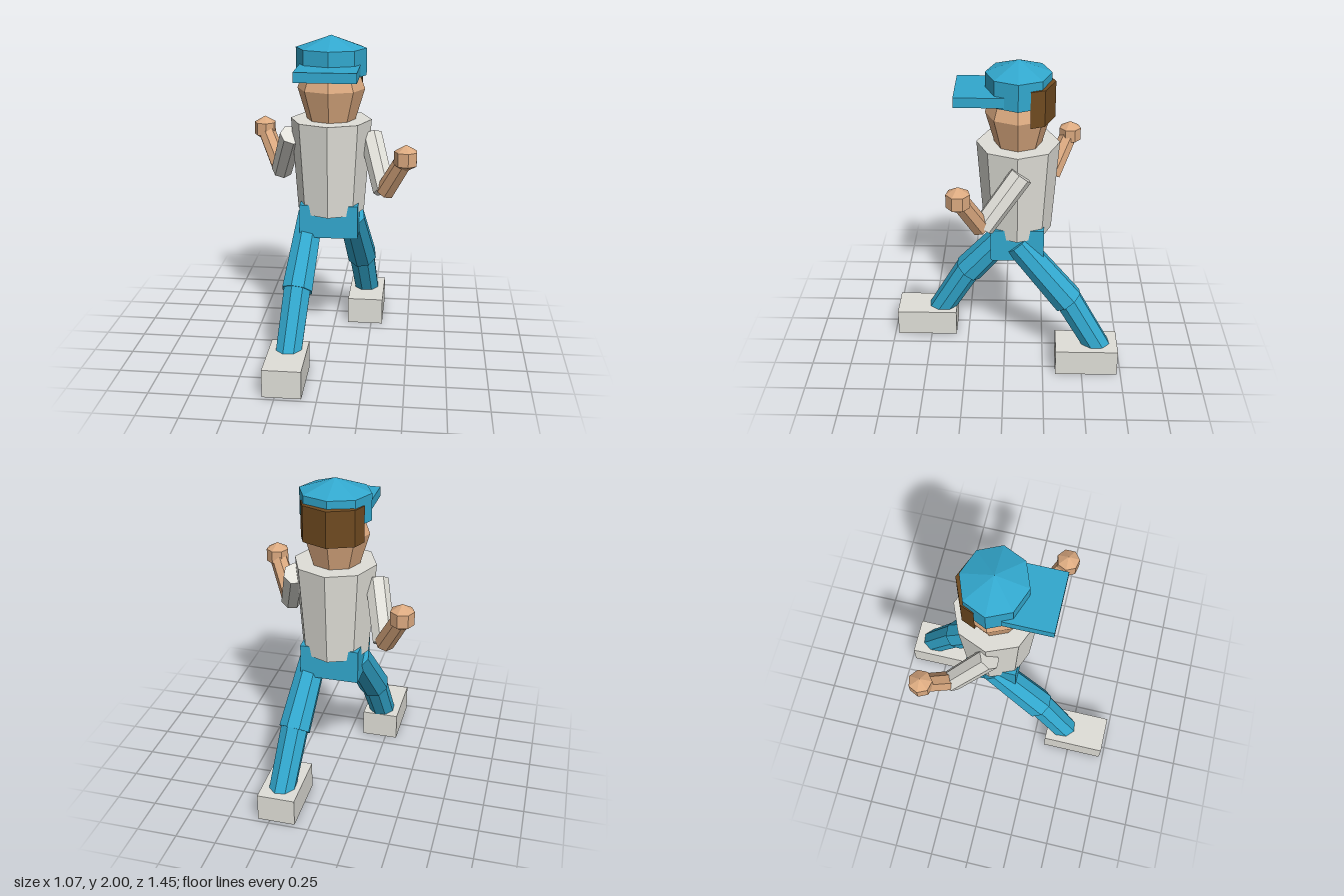
import * as THREE from 'three';

const flat = (name, color) => {
  const m = new THREE.MeshStandardMaterial({ color, flatShading: true, side: THREE.DoubleSide });
  m.name = name;
  return m;
};

export function createModel() {
  const root = new THREE.Group();
  root.name = 'walkingFigure';
  const blue = flat('blue cloth', 0x32a8ce);
  const white = flat('off-white', 0xe0dfd8);
  const skin = flat('skin', 0xdcaa80);
  const brown = flat('brown hair', 0x6f4a20);
  const MID = -0.08; // body axis in z

  const add = (name, geo, mat, x = 0, y = 0, z = 0) => {
    const mesh = new THREE.Mesh(geo, mat);
    mesh.name = name;
    mesh.position.set(x, y, z);
    root.add(mesh);
    return mesh;
  };
  const box = (name, mat, w, h, d, x, y, z) => add(name, new THREE.BoxGeometry(w, h, d), mat, x, y, z);
  const lathe = (points, sides, start, sweep) =>
    new THREE.LatheGeometry(points.map(([r, y]) => new THREE.Vector2(r, y)), sides, start, sweep);

  // Tapered prism running from a to b
  const limb = (name, mat, a, b, ra, rb, sides) => {
    const from = new THREE.Vector3(...a), to = new THREE.Vector3(...b);
    const dir = to.clone().sub(from);
    const mesh = add(name, new THREE.CylinderGeometry(rb, ra, dir.length(), sides), mat);
    mesh.position.copy(from).add(to).multiplyScalar(0.5);
    mesh.quaternion.setFromUnitVectors(new THREE.Vector3(0, 1, 0), dir.normalize());
  };

  // Torso and hips
  add('torso', new THREE.CylinderGeometry(0.25, 0.208, 0.58, 8), white, 0, 1.2, MID);
  box('hips', blue, 0.36, 0.21, 0.325, 0, 0.87, MID);

  // Head
  const head = lathe([[0, 1.44], [0.15, 1.49], [0.207, 1.68], [0.172, 1.77], [0, 1.8]], 8);
  add('head', head, skin, 0, 0, MID).scale.z = 0.95;

  // Hair: back half of an eight-sided drum, trimmed at the front
  const hairGeo = lathe([[0, -0.125], [0.17, -0.125], [0.217, -0.11], [0.217, 0.11], [0.17, 0.125], [0, 0.125]],
    4, Math.PI / 2, Math.PI);
  const p = hairGeo.attributes.position;
  for (let i = 0; i < p.count; i++) {
    if (p.getZ(i) > -0.07) p.setXYZ(i, p.getX(i) * 0.87, p.getY(i), -0.07);
  }
  add('hair', hairGeo, brown, 0, 1.762, MID);

  // Cap with a square brim
  const cap = lathe([[0, 1.762], [0.215, 1.762], [0.215, 1.925], [0, 2]], 8);
  add('cap', cap, blue, 0, 0, MID).scale.z = 0.905;
  box('capBrim', blue, 0.366, 0.06, 0.29, 0, 1.805, 0.145);

  // Limbs: s = 1 is the left side, s = -1 is the same half turned about the body axis
  for (const s of [1, -1]) {
    const side = s > 0 ? 'left' : 'right';
    const at = (x, y, z) => [s * x, y, MID + s * z];

    // Arm
    limb(side + 'Sleeve', white, at(0.245, 1.385, -0.02), at(0.343, 1.095, 0.2), 0.072, 0.068, 7);
    limb(side + 'Forearm', skin, at(0.35, 1.1, 0.215), at(0.47, 1.34, 0.33), 0.06, 0.056, 7);
    const hand = at(0.47, 1.34, 0.332);
    add(side + 'Hand', new THREE.SphereGeometry(0.081, 7, 3), skin, ...hand);

    // Leg
    limb(side + 'Thigh', blue, at(0.13, 0.865, 0), at(0.177, 0.475, -0.325), 0.085, 0.1, 8);
    limb(side + 'Shin', blue, at(0.175, 0.5, -0.315), at(0.208, 0.12, -0.535), 0.088, 0.083, 8);
    box(side + 'Shoe', white, 0.233, 0.175, 0.395, s * 0.208, 0.0875, s * -0.528);
  }
  return root;
}
